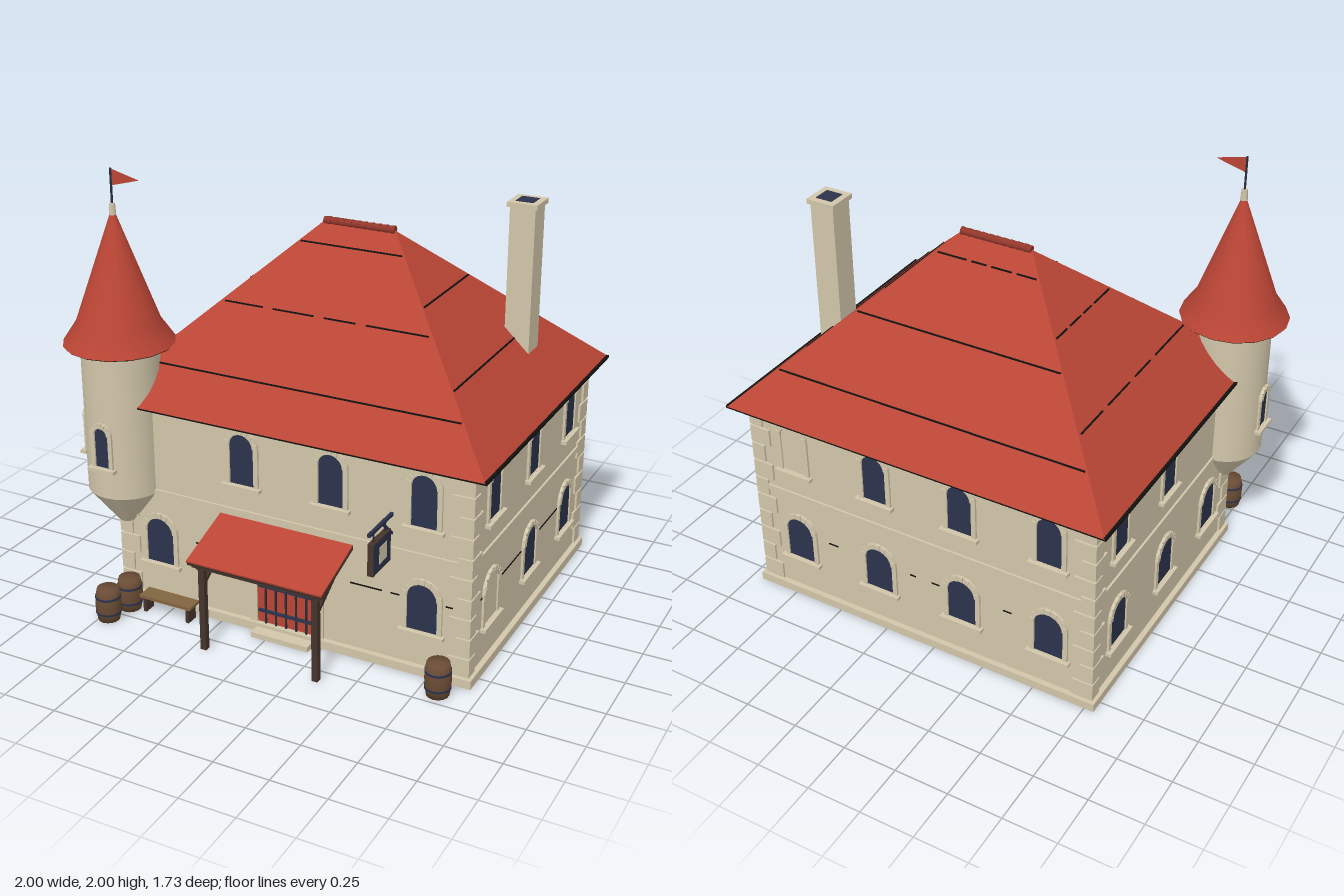
import * as THREE from 'three';

const mat = (name, color, extra = {}) => {
  const m = new THREE.MeshStandardMaterial({ color, ...extra });
  m.name = name;
  return m;
};

export function createModel() {
  const stone = mat('stone', 0xd2c6aa);
  const red = mat('red tile', 0xba4535, { side: THREE.DoubleSide });
  const ridgeRed = mat('dark red ridge', 0x93372b);
  const glass = mat('blue glass', 0x2b334c);
  const wood = mat('barrel wood', 0x6a4c35);
  const dark = mat('dark timber', 0x46342c);
  const bench = mat('bench wood', 0x80643f);
  const black = mat('black', 0x14110f);
  const iron = mat('iron', 0x2a2d3a);

  const root = new THREE.Group();
  const add = (parent, name, geo, material, x = 0, y = 0, z = 0) => {
    const m = new THREE.Mesh(geo, material);
    m.name = name;
    m.position.set(x, y, z);
    parent.add(m);
    return m;
  };
  const box = (p, name, material, w, h, d, x, y, z) =>
    add(p, name, new THREE.BoxGeometry(w, h, d), material, x, y, z);
  const group = (name, parent = root) => {
    const g = new THREE.Group();
    g.name = name;
    parent.add(g);
    return g;
  };
  // Straight bar between two points
  const bar = (p, name, material, a, b, t) => {
    const A = new THREE.Vector3(...a), B = new THREE.Vector3(...b);
    const m = box(p, name, material, t, t, A.distanceTo(B), 0, 0, 0);
    m.position.copy(A).add(B).multiplyScalar(0.5);
    m.quaternion.setFromUnitVectors(new THREE.Vector3(0, 0, 1), B.sub(A).normalize());
    return m;
  };

  // House body: centre and half sizes
  const CX = 0.075, CZ = -0.11, HX = 0.845, HZ = 0.68;
  const slab = (name, y0, y1, out) =>
    box(root, name, stone, 2 * (HX + out), y1 - y0, 2 * (HZ + out), CX, (y0 + y1) / 2, CZ);
  slab('walls', 0.01, 0.975, 0);
  slab('plinth', 0, 0.04, 0.025);
  slab('stringCourse', 0.545, 0.57, 0.01);
  slab('cornice', 0.95, 0.975, 0.012);

  // Corner quoins, long and short by turns
  const quoins = group('quoins');
  for (const sx of [-1, 1]) for (const sz of [-1, 1]) for (let i = 0; i < 10; i++) {
    const w = i % 2 ? 0.065 : 0.1, d = i % 2 ? 0.1 : 0.065;
    box(quoins, 'quoin', stone, w, 0.084, d,
      CX + sx * (HX + 0.01 - w / 2), 0.085 + i * 0.093, CZ + sz * (HZ + 0.01 - d / 2));
  }

  // Arched outline standing on y0, with its top at y1
  const arch = (C, hw, y0, y1) => {
    const s = new C();
    s.moveTo(-hw, y0);
    s.lineTo(hw, y0);
    s.lineTo(hw, y1 - hw);
    s.absarc(0, y1 - hw, hw, 0, Math.PI, false);
    s.lineTo(-hw, y0);
    return s;
  };
  // Arched opening: pane, frame, raised arch stones and sill
  const opening = (p, name, x, y0, y1, hw, pane, frame = 0.022, sill = true) => {
    const g = group(name, p);
    g.position.x = x;
    add(g, 'pane', new THREE.ShapeGeometry(arch(THREE.Shape, hw, y0, y1), 10), pane, 0, 0, 0.003);
    const s = arch(THREE.Shape, hw + frame, y0, y1 + frame);
    s.holes.push(arch(THREE.Path, hw, y0 + 0.001, y1));
    add(g, 'frame', new THREE.ExtrudeGeometry(s, { depth: 0.01, bevelEnabled: false, curveSegments: 10 }), stone);
    for (let i = 0; i < 9; i++) {
      const a = (i + 0.5) * Math.PI / 9, r = hw + frame / 2;
      box(g, 'archStone', stone, frame + 0.003, r * 0.29, 0.016,
        r * Math.cos(a), y1 - hw + r * Math.sin(a), 0.007).rotation.z = a;
    }
    if (sill) box(g, 'sill', stone, 2 * (hw + frame) + 0.025, 0.016, 0.03, 0, y0 - 0.008, 0.012);
    return g;
  };
  const upper = (p, x, pane = glass) => opening(p, 'upperWindow', x, 0.69, 0.93, 0.058, pane);
  const lower = (p, x, pane = glass) => opening(p, 'lowerWindow', x, 0.205, 0.43, 0.069, pane);

  // Wall groups: local z points outward
  const wall = (name, x, z, turn) => {
    const g = group(name);
    g.position.set(x, 0, z);
    g.rotation.y = turn;
    return g;
  };
  const front = wall('frontWall', CX, CZ + HZ, 0);
  const back = wall('backWall', CX, CZ - HZ, Math.PI);
  const leftW = wall('leftWall', CX + HX, CZ, Math.PI / 2);
  const rightW = wall('rightWall', CX - HX, CZ, -Math.PI / 2);
  [-0.215, 0.21, 0.635].forEach(x => upper(front, x));
  [-0.645, 0.635].forEach(x => lower(front, x));
  [-0.635, -0.21, 0.215, 0.64].forEach((x, i) => {
    upper(back, x, i ? glass : stone);
    lower(back, x);
  });
  [-0.455, 0, 0.455].forEach((x, i) => {
    upper(leftW, x);
    lower(leftW, x, i ? glass : stone);
    if (i < 2) upper(rightW, x);
    lower(rightW, x);
  });
  // Thin dark joint on the lower storey
  const joint = (p, x0, x1) => box(p, 'wallJoint', black, x1 - x0, 0.006, 0.004, (x0 + x1) / 2, 0.35, 0.001);
  [[-0.46, -0.34], [0.3, 0.45], [0.49, 0.53], [0.74, 0.77]].forEach(j => joint(front, ...j));
  [[-0.58, -0.55], [-0.36, -0.1], [0.1, 0.36]].forEach(j => joint(leftW, ...j));
  [[-0.48, -0.43], [-0.05, -0.02], [0.06, 0.1], [0.42, 0.46]].forEach(j => joint(back, ...j));

  // Door with iron grille and step
  opening(front, 'door', -0.005, 0.04, 0.4, 0.145, red, 0.035, false);
  const grille = group('doorGrille', front);
  for (let i = 0; i < 5; i++) box(grille, 'bar', iron, 0.007, 0.24, 0.008, -0.105 + i * 0.05, 0.163, 0.012);
  [0.105, 0.228].forEach(y => box(grille, 'crossBar', glass, 0.27, 0.012, 0.012, -0.005, y, 0.013));
  box(front, 'doorStep', stone, 0.28, 0.025, 0.08, -0.005, 0.0125, 0.04);

  // Hipped roof from the eave ring to the ridge, crisp along the hips
  const Y0 = 0.982, Y1 = 1.69, RX = 0.918, RZ = 0.753, RIDGE = 0.17;
  const e = [[-RX, 0, RZ], [RX, 0, RZ], [RX, 0, -RZ], [-RX, 0, -RZ]];
  const rl = [-RIDGE, Y1 - Y0, 0], rr = [RIDGE, Y1 - Y0, 0];
  const faces = [e[0], e[1], rr, e[0], rr, rl, e[1], e[2], rr, e[2], e[3], rl, e[2], rl, rr, e[3], e[0], rl];
  const roofGeo = new THREE.BufferGeometry();
  roofGeo.setAttribute('position', new THREE.Float32BufferAttribute(faces.flat(), 3));
  roofGeo.computeVertexNormals();
  add(root, 'mainRoof', roofGeo, red, CX, Y0, CZ);
  box(root, 'soffit', black, 1.85, 0.006, 1.506, CX, Y0 - 0.004, CZ);
  for (const s of [-1, 1]) box(root, 'sideFascia', black, 0.014, 0.012, 1.5, CX + s * 0.918, Y0 - 0.001, CZ);

  // Thin dark course lines across the slopes: height, side, and shown spans from -1 to 1
  const courses = group('roofCourses');
  const whole = [[-1, 1]];
  const broken = [[-0.98, -0.6], [-0.5, -0.1], [0, 0.3], [0.4, 0.98]];
  const course = (y, s, spans, alongX) => {
    const t = (y - Y0) / (Y1 - Y0), hx = RX + (RIDGE - RX) * t, hz = RZ * (1 - t);
    for (const [a, b] of spans) {
      const half = (alongX ? hx : hz) - 0.01, mid = half * (a + b) / 2, len = half * (b - a);
      if (alongX) box(courses, 'course', black, len, 0.006, 0.006, CX + mid, y, CZ + s * hz);
      else box(courses, 'course', black, 0.006, 0.006, len, CX + s * hx, y, CZ + mid);
    }
  };
  [[1.137, whole, whole], [1.373, broken, whole], [1.61, whole, broken]].forEach(([y, f, b]) => {
    course(y, 1, f, true);
    course(y, -1, b, true);
  });
  for (const y of [1.222, 1.457]) {
    course(y, 1, whole, false);
    course(y, -1, broken, false);
  }
  // Rounded ridge tiles
  const ridge = group('ridgeTiles');
  for (let i = 0; i < 10; i++)
    add(ridge, 'ridgeTile', new THREE.CylinderGeometry(0.016, 0.019, 0.035, 10), ridgeRed,
      CX - 0.153 + i * 0.034, 1.692, CZ).rotation.z = Math.PI / 2;

  // Chimney
  const chimney = group('chimney');
  chimney.position.set(0.75, 0, -0.35);
  box(chimney, 'stack', stone, 0.115, 0.67, 0.115, 0, 1.485, 0);
  box(chimney, 'cap', stone, 0.137, 0.022, 0.137, 0, 1.821, 0);
  box(chimney, 'flue', glass, 0.08, 0.006, 0.08, 0, 1.831, 0);

  // Corner turret
  const turret = group('turret');
  turret.position.set(-0.755, 0, 0.545);
  add(turret, 'turretWall', new THREE.CylinderGeometry(0.172, 0.172, 0.68, 24), stone, 0, 0.89, 0);
  add(turret, 'turretFoot', new THREE.CylinderGeometry(0.172, 0.045, 0.17, 24), stone, 0, 0.465, 0);
  add(turret, 'turretRing', new THREE.CylinderGeometry(0.18, 0.18, 0.025, 24), stone, 0, 1.215, 0);
  const lathe = [[0.245, 1.235], [0.185, 1.325], [0.01, 1.81]].map(p => new THREE.Vector2(...p));
  add(turret, 'turretRoof', new THREE.LatheGeometry(lathe, 16), red);
  add(turret, 'turretSoffit', new THREE.CylinderGeometry(0.242, 0.242, 0.006, 16), black, 0, 1.234, 0);
  add(turret, 'finial', new THREE.CylinderGeometry(0.013, 0.016, 0.05, 10), stone, 0, 1.825, 0);
  add(turret, 'flagPole', new THREE.CylinderGeometry(0.005, 0.005, 0.16, 8), iron, 0, 1.92, 0);
  const flag = new THREE.Shape([[0, 1.998], [0, 1.925], [0.14, 1.963]].map(p => new THREE.Vector2(...p)));
  add(turret, 'flag', new THREE.ShapeGeometry(flag), red);
  for (const turn of [0, -Math.PI / 2]) {
    const side = group('turretWindowSide', turret);
    side.rotation.y = turn;
    const w = opening(side, 'turretWindow', 0, 0.7, 0.89, 0.034, glass, 0.02);
    w.position.z = 0.171;
  }

  // Door canopy on posts: timber deck with a thin tile layer
  const canopy = group('canopy');
  const deck = group('canopyDeck', canopy);
  deck.position.set(0.07, 0.472, 0.718);
  deck.rotation.x = Math.atan2(0.095, 0.285);
  box(deck, 'deckBoards', dark, 0.64, 0.016, 0.302, 0, 0, 0);
  box(deck, 'canopyTiles', red, 0.642, 0.008, 0.304, 0, 0.012, 0);
  box(canopy, 'canopyBeam', dark, 0.63, 0.028, 0.03, 0.07, 0.409, 0.82);
  for (const x of [-0.2, 0.342]) {
    box(canopy, 'post', dark, 0.028, 0.4, 0.028, x, 0.2, 0.82);
    bar(canopy, 'brace', dark, [x, 0.32, 0.82], [x, 0.48, 0.57], 0.02);
    bar(canopy, 'rafter', dark, [x, 0.415, 0.86], [x, 0.505, 0.575], 0.02);
  }

  // Hanging sign
  const sign = group('hangingSign');
  sign.position.x = 0.565;
  box(sign, 'signArm', glass, 0.014, 0.014, 0.22, 0, 0.72, 0.68);
  bar(sign, 'signBrace', glass, [0, 0.63, 0.57], [0, 0.715, 0.66], 0.01);
  box(sign, 'signRim', dark, 0.026, 0.145, 0.165, 0, 0.6, 0.69);
  box(sign, 'signBoard', glass, 0.03, 0.135, 0.155, 0, 0.6, 0.69);
  box(sign, 'signPanel', stone, 0.034, 0.075, 0.07, 0, 0.6, 0.685);
  [0.635, 0.745].forEach(z => box(sign, 'signHanger', iron, 0.006, 0.06, 0.006, 0, 0.695, z));

  // Barrels
  const staves = [[0, 0], [0.049, 0], [0.056, 0.04], [0.058, 0.077], [0.056, 0.115], [0.049, 0.155],
    [0, 0.155]].map(p => new THREE.Vector2(...p));
  for (const [x, z] of [[-0.712, 0.8], [-0.68, 0.677], [0.835, 0.68]]) {
    const b = group('barrel');
    b.position.set(x, 0, z);
    add(b, 'staves', new THREE.LatheGeometry(staves, 14), wood);
    for (const y of [0.04, 0.115])
      add(b, 'hoop', new THREE.CylinderGeometry(0.058, 0.058, 0.01, 14), glass, 0, y, 0);
  }

  // Bench
  const seat = group('bench');
  box(seat, 'benchSeat', bench, 0.265, 0.014, 0.08, -0.488, 0.078, 0.65);
  for (const x of [-0.6, -0.378]) box(seat, 'benchLeg', dark, 0.016, 0.072, 0.06, x, 0.036, 0.65);

  return root;
}
